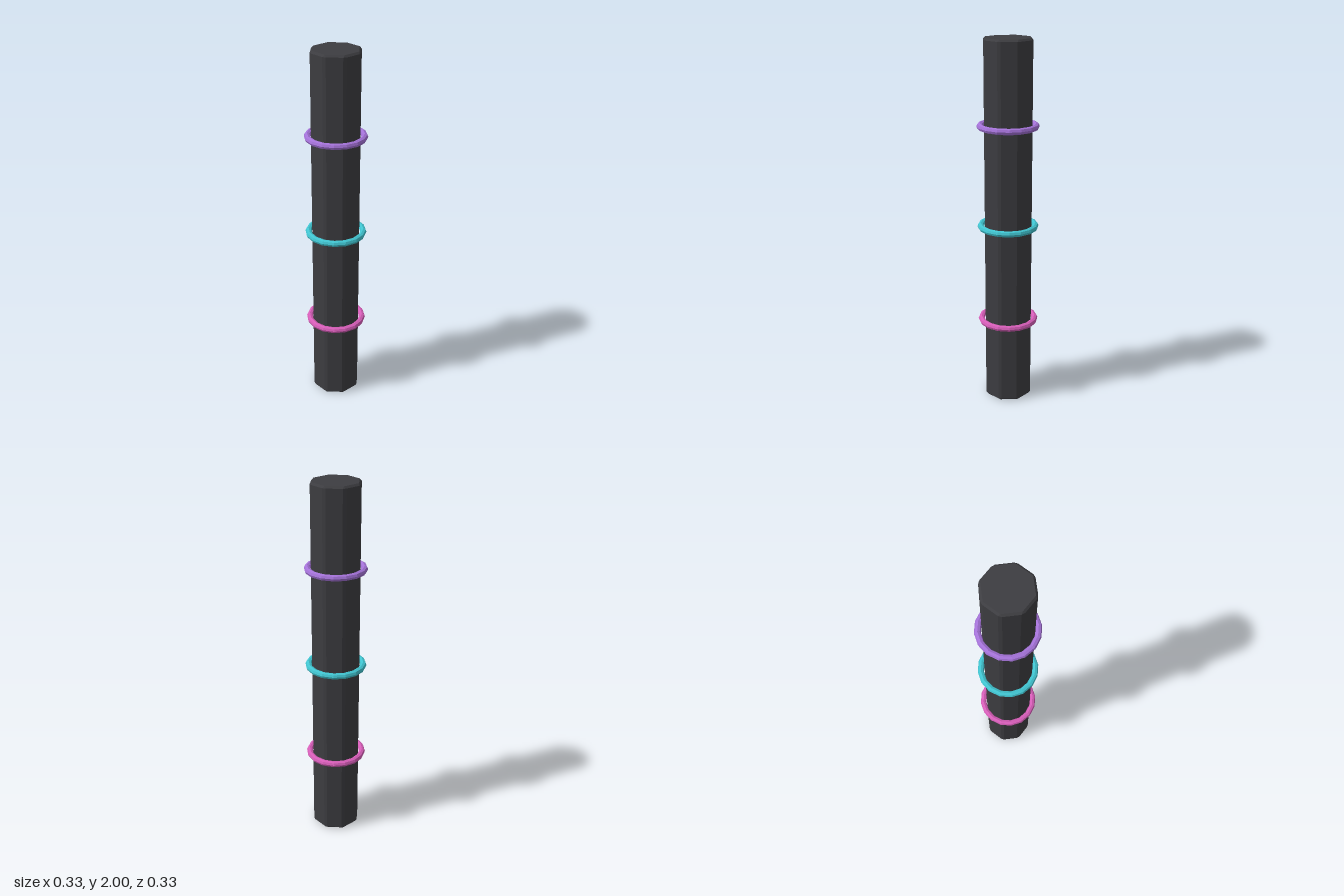
import * as THREE from 'three';
import { ConvexGeometry } from 'three/addons/geometries/ConvexGeometry.js';

const SIDES = 8, HEIGHT = 2, RADIUS = 0.135, BEVEL = 0.01;

const material = (name, color) => {
  const m = new THREE.MeshStandardMaterial({ color });
  m.name = name;
  m.flatShading = true;
  return m;
};

// Octagonal prism with every edge chamfered
function chamferedPrism() {
  const points = [];
  const capRadius = RADIUS - BEVEL / Math.cos(Math.PI / SIDES);
  const corner = (i) => {
    const a = (i / SIDES) * Math.PI * 2;
    return new THREE.Vector3(Math.cos(a) * RADIUS, 0, Math.sin(a) * RADIUS);
  };
  for (let i = 0; i < SIDES; i++) {
    const p = corner(i);
    for (const end of [0, 1]) {
      points.push(p.clone().multiplyScalar(capRadius / RADIUS).setY(end * HEIGHT));
      // two points per corner, slid along the neighbouring edges
      for (const step of [-1, 1]) {
        const slide = corner(i + step).sub(p).setLength(BEVEL);
        points.push(p.clone().add(slide).setY(end ? HEIGHT - BEVEL : BEVEL));
      }
    }
  }
  return new ConvexGeometry(points);
}

export function createModel() {
  const model = new THREE.Group();
  model.name = 'ringedRod';

  const rod = new THREE.Mesh(chamferedPrism(), material('charcoal', 0x3d3d41));
  rod.name = 'rod';
  model.add(rod);

  // Three coloured bands around the rod
  const ringGeometry = new THREE.TorusGeometry(0.148, 0.017, 8, 16).rotateX(Math.PI / 2);
  const rings = [
    ['lowerRing', 0.456, material('pink', 0xd65db8)],
    ['middleRing', 1.002, material('turquoise', 0x40c4d0)],
    ['upperRing', 1.548, material('purple', 0xa472d8)],
  ];
  for (const [name, y, mat] of rings) {
    const ring = new THREE.Mesh(ringGeometry, mat);
    ring.name = name;
    ring.position.y = y;
    model.add(ring);
  }
  return model;
}
